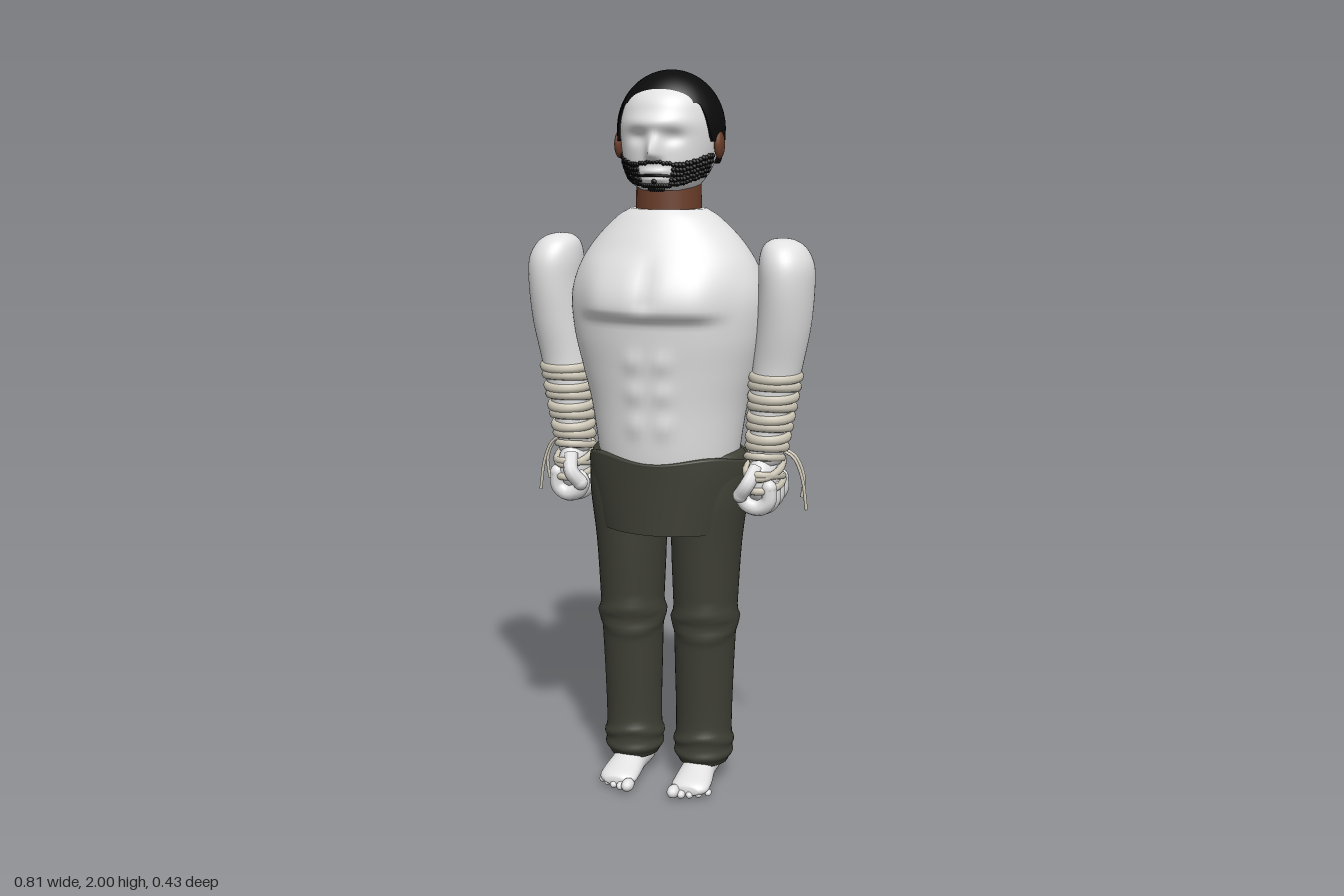
import * as THREE from 'three';
import { mergeGeometries } from 'three/addons/utils/BufferGeometryUtils.js';

const V = (x, y, z) => new THREE.Vector3(x, y, z);
const bump = (d, w) => Math.exp(-(d * d) / (w * w));
const step = THREE.MathUtils.smoothstep;
const mat = (name, color, side = THREE.FrontSide) => {
  const m = new THREE.MeshStandardMaterial({ color, side });
  m.name = name;
  return m;
};

// Closed ring surface: fn(angle, v) gives a point; angle 0 faces +z, v runs upward.
function surface(segs, rows, fn, capped = true) {
  const pos = [], idx = [];
  for (let j = 0; j <= rows; j++)
    for (let i = 0; i < segs; i++) pos.push(...fn((i / segs) * Math.PI * 2, j / rows).toArray());
  for (let j = 0; j < rows; j++)
    for (let i = 0; i < segs; i++) {
      const a = j * segs + i, b = j * segs + ((i + 1) % segs);
      idx.push(a, b, b + segs, a, b + segs, a + segs);
    }
  if (capped) {
    for (const j of [0, rows]) {
      const c = V(0, 0, 0), n = pos.length / 3;
      for (let i = 0; i < segs; i++) c.add(V(...pos.slice((j * segs + i) * 3, (j * segs + i) * 3 + 3)));
      pos.push(...c.divideScalar(segs).toArray());
      for (let i = 0; i < segs; i++) {
        const a = j * segs + i, b = j * segs + ((i + 1) % segs);
        if (j) idx.push(n, a, b); else idx.push(n, b, a);
      }
    }
  }
  const g = new THREE.BufferGeometry();
  g.setAttribute('position', new THREE.Float32BufferAttribute(pos, 3));
  g.setIndex(idx);
  g.computeVertexNormals();
  return g;
}

// Smooth elliptical sections [y, centreX, centreZ, radiusX, radiusZ], listed upward.
function sections(list) {
  const c = new THREE.CatmullRomCurve3(list.map(r => V(r[0], r[1], r[2])), false, 'catmullrom');
  const d = new THREE.CatmullRomCurve3(list.map(r => V(r[0], r[3], r[4])), false, 'catmullrom');
  return (a, v) => {
    const p = c.getPoint(v), r = d.getPoint(v);
    return V(p.y + Math.sin(a) * r.y, p.x, p.z + Math.cos(a) * r.z);
  };
}
function loft(list, segs, rows, shape = p => p, capped = true) {
  const f = sections(list);
  return surface(segs, rows, (a, v) => shape(f(a, v), a), capped);
}
const tube = (pts, r, n = 12, closed = false) =>
  new THREE.TubeGeometry(new THREE.CatmullRomCurve3(pts, closed), n, r, 8, closed);
function ball(x, y, z, rx, ry, rz, n = 16) {
  return new THREE.SphereGeometry(1, n, Math.ceil(n * 0.7)).scale(rx, ry, rz).translate(x, y, z);
}
function ring(c, rx, rz, tilt, r) {
  const pts = [];
  for (let i = 0; i < 20; i++) {
    const a = (i / 20) * Math.PI * 2;
    pts.push(V(c.x + Math.sin(a) * rx, c.y + Math.cos(a) * tilt, c.z + Math.cos(a) * rz));
  }
  return tube(pts, r, 32, true);
}

export function createModel() {
  const model = new THREE.Group();
  const skin = mat('paleSkin', 0xe2e2e2), hairMat = mat('blackHair', 0x0b0b0b);
  const brown = mat('brownSkin', 0x6b3e2a), wrapMat = mat('linenWrap', 0xcdc7b7);
  const cloth = mat('darkTrousers', 0x3e3f35, THREE.DoubleSide);
  const add = (name, geo, material, parent = model) => {
    const m = new THREE.Mesh(geo, material);
    m.name = name;
    parent.add(m);
    return m;
  };

  // Torso with chest, stomach muscles and spine groove
  add('torso', loft([
    [0.78, 0, -0.02, 0.15, 0.13], [0.88, 0, -0.02, 0.19, 0.155], [0.97, 0, -0.017, 0.2, 0.168],
    [1.1, 0, -0.018, 0.22, 0.178], [1.2, 0, -0.017, 0.245, 0.187], [1.3, 0, -0.015, 0.268, 0.197],
    [1.4, 0, -0.014, 0.274, 0.202], [1.48, 0, -0.012, 0.25, 0.185], [1.55, 0, -0.012, 0.205, 0.15],
    [1.61, 0, -0.01, 0.145, 0.11], [1.635, 0, -0.01, 0.105, 0.09],
  ], 80, 90, p => {
    const ax = Math.abs(p.x), y = p.y;
    if (p.z > 0.02) {
      const pec = step(y, 1.335, 1.375) * (1 - step(y, 1.38, 1.54)) * (1 - step(ax, 0.13, 0.23));
      p.z += pec * 0.026 - 0.01 * bump(p.x, 0.025) * step(y, 1.36, 1.4) * (1 - step(y, 1.45, 1.55));
      for (const h of [1.06, 1.15, 1.235]) p.z += 0.009 * bump(ax - 0.04, 0.024) * bump(y - h, 0.03);
    } else if (p.z < -0.02) {
      const back = step(y, 1.0, 1.15) * (1 - step(y, 1.5, 1.6));
      p.z += back * (0.016 * bump(p.x, 0.022) - 0.014 * bump(ax - 0.1, 0.07) * bump(y - 1.4, 0.12));
    }
    return p;
  }), skin);

  // Neck
  add('neck', new THREE.CylinderGeometry(0.088, 0.09, 0.1, 32).translate(0, 1.665, -0.013), brown);

  // Head with brow, eye hollows, nose and lips
  const headBase = sections([
    [1.685, 0, 0.0, 0.07, 0.085], [1.7, 0, 0.0, 0.09, 0.103], [1.74, 0, -0.014, 0.115, 0.126],
    [1.79, 0, -0.022, 0.129, 0.136], [1.85, 0, -0.025, 0.133, 0.14], [1.91, 0, -0.025, 0.121, 0.13],
    [1.95, 0, -0.03, 0.095, 0.1], [1.98, 0, -0.03, 0.05, 0.05],
  ]);
  const headPoint = (a, v) => {
    const p = headBase(a, v);
    if (p.z > 0.02) {
      const ax = Math.abs(p.x);
      p.z += 0.014 * bump(p.y - 1.86, 0.022) * bump(p.x, 0.09);
      p.z -= 0.012 * bump(p.y - 1.825, 0.02) * bump(ax - 0.05, 0.028);
      p.z += 0.036 * bump(p.x, 0.017) * step(p.y, 1.755, 1.78) * (1 - step(p.y, 1.785, 1.85));
      p.z += 0.008 * bump(p.x, 0.035) * (bump(p.y - 1.735, 0.008) + bump(p.y - 1.715, 0.008));
    }
    return p;
  };
  add('head', surface(96, 72, headPoint), skin);

  // Close-cut hair: low at the back, stepping up at the temples
  add('hair', surface(96, 40, (a, v) => {
    const az = Math.abs(a > Math.PI ? a - Math.PI * 2 : a) * 180 / Math.PI;
    const low = 1.912 - 0.1 * step(az, 50, 68) - 0.06 * step(az, 95, 118);
    const end = Math.acos((low - 1.845) / 0.155);
    const phi = end * Math.min(1, (1 - v) * 1.05);
    const y = 1.845 + 0.155 * Math.cos(phi);
    let r = phi < Math.PI / 2 ? Math.sin(phi) : 1 - (1 - Math.sin(phi)) * 0.45;
    if (v === 0) r *= 0.86;
    return V(Math.sin(a) * 0.147 * r, y, -0.033 + Math.cos(a) * 0.141 * r);
  }, false), hairMat);

  // Curly beard along the jaw, chin tuft and moustache
  const curls = [];
  const curl = (deg, y, r) => {
    let v = 0, best = 1;
    for (let k = 0; k <= 80; k++) {
      const d = Math.abs(headBase(0, k / 80).y - y);
      if (d < best) { best = d; v = k / 80; }
    }
    const p = headPoint(deg * Math.PI / 180, v);
    curls.push(ball(p.x, p.y, p.z, r, r, r, 6));
  };
  for (const s of [-1, 1]) {
    for (let d = 28; d <= 82; d += 4.5)
      for (let k = 0; k < 5; k++) curl(s * (d + (k % 2) * 2), 1.703 + step(d, 30, 82) * 0.022 + k * 0.0125, 0.0078);
    for (let d = 0; d <= 26; d += 4) {
      curl(s * d, 1.763 - d * 0.0004, 0.006);
      curl(s * d, 1.7, 0.007);
      if (d < 14) curl(s * d, 1.69, 0.008);
    }
    for (let k = 0; k < 5; k++) curl(s * 25, 1.703 + k * 0.012, 0.006);
  }
  curl(0, 1.712, 0.008);
  add('beard', mergeGeometries(curls), hairMat);
  add('mouthLine', tube([V(-0.05, 1.724, 0.095), V(0, 1.726, 0.117), V(0.05, 1.724, 0.095)], 0.004), hairMat);

  for (const s of [1, -1]) {
    const side = s > 0 ? 'left' : 'right';
    const limb = (list, ...rest) => loft(list.map(r => [r[0], r[1] * s, ...r.slice(2)]), ...rest);

    add(side + 'Ear', ball(s * 0.141, 1.803, -0.015, 0.013, 0.037, 0.029), brown);

    // Arm
    const arm = new THREE.Group();
    arm.name = side + 'Arm';
    model.add(arm);
    add('armSkin', limb([
      [0.95, 0.28, -0.01, 0.044, 0.055], [1.05, 0.288, -0.012, 0.052, 0.056], [1.14, 0.298, -0.013, 0.062, 0.062],
      [1.22, 0.31, -0.014, 0.068, 0.068], [1.32, 0.324, -0.014, 0.073, 0.086], [1.42, 0.331, -0.014, 0.074, 0.1],
      [1.49, 0.33, -0.014, 0.073, 0.098], [1.535, 0.323, -0.014, 0.058, 0.075], [1.556, 0.318, -0.014, 0.032, 0.04],
      [1.561, 0.318, -0.014, 0.005, 0.005],
    ], 40, 50), skin, arm);

    // Fist: palm, curled fingers, thumb
    const fist = [ball(s * 0.277, 0.905, -0.008, 0.046, 0.075, 0.085, 24)];
    for (let k = 0; k < 4; k++) {
      const z = 0.058 - k * 0.044, up = Math.abs(k - 1.3) * 0.007;
      const pts = [[0.308, 0.885], [0.306, 0.845], [0.28, 0.826], [0.245, 0.836], [0.232, 0.865], [0.25, 0.882]];
      fist.push(tube(pts.map(q => V(s * q[0], q[1] + up, z)), 0.022, 20));
      fist.push(ball(s * 0.308, 0.885 + up, z, 0.022, 0.022, 0.022, 10));
    }
    fist.push(tube([V(s * 0.27, 0.945, 0.05), V(s * 0.255, 0.905, 0.085), V(s * 0.232, 0.872, 0.075)], 0.021));
    fist.push(ball(s * 0.232, 0.872, 0.075, 0.021, 0.021, 0.021, 10));
    add('fist', mergeGeometries(fist), skin, arm);

    // Wraps round the forearm and hand, with loose ends
    const wraps = [];
    for (let k = 0; k < 8; k++) {
      const t = k / 7, y = 1.19 - t * 0.195;
      wraps.push(ring(V(s * (0.305 - t * 0.022), y, -0.013), 0.062 - t * 0.014, 0.06 - t * 0.007, k % 2 ? 0.006 : -0.004, 0.0145));
    }
    for (const [y, tilt] of [[0.965, 0.012], [0.94, -0.02], [0.915, 0.016], [0.893, -0.008]])
      wraps.push(ring(V(s * 0.278, y, -0.008), 0.047, y > 0.95 ? 0.066 : 0.084, tilt, 0.0105));
    add('wraps', mergeGeometries(wraps), wrapMat, arm);
    const ends = [[-0.022, 0.394, 0.82], [-0.045, 0.375, 0.85]].map(([z, x, y]) =>
      tube([V(s * 0.318, 0.985, z), V(s * 0.355, 0.965, z), V(s * 0.38, 0.91, z), V(s * x, y, z)], 0.0045));
    add('wrapEnds', mergeGeometries(ends), wrapMat, arm);

    // Trouser leg with folds at knee and cuff
    add(side + 'TrouserLeg', limb([
      [0.062, 0.105, -0.015, 0.07, 0.075], [0.1, 0.105, -0.015, 0.08, 0.084], [0.2, 0.106, -0.014, 0.08, 0.081],
      [0.35, 0.107, -0.013, 0.084, 0.088], [0.5, 0.109, -0.013, 0.089, 0.098], [0.7, 0.111, -0.014, 0.098, 0.112],
      [0.85, 0.12, -0.015, 0.106, 0.12], [0.94, 0.128, -0.015, 0.097, 0.11], [0.975, 0.135, -0.015, 0.075, 0.085],
      [0.985, 0.135, -0.015, 0.03, 0.04],
    ], 40, 100, (p, a) => {
      const w = 0.012 * Math.sin(a * 2 + 1);
      const f = 0.009 * bump(p.y - 0.505 - w, 0.014) + 0.006 * bump(p.y - 0.46 + w, 0.013)
        + 0.007 * bump(p.y - 0.135 - w, 0.012) + 0.006 * bump(p.y - 0.088, 0.013);
      return p.add(V(Math.sin(a) * f, 0, Math.cos(a) * f));
    }), cloth);

    // Bare foot, lofted heel to toe and laid flat, plus toes
    const foot = limb([
      [-0.1, 0.1, -0.042, 0.012, 0.012], [-0.09, 0.1, -0.043, 0.035, 0.034], [-0.05, 0.101, -0.046, 0.046, 0.045],
      [0.02, 0.104, -0.045, 0.047, 0.043], [0.09, 0.107, -0.034, 0.054, 0.03], [0.13, 0.107, -0.028, 0.052, 0.022],
      [0.15, 0.107, -0.026, 0.03, 0.012],
    ], 28, 30).rotateX(Math.PI / 2);
    const toes = [ball(s * 0.103, 0.08, -0.015, 0.048, 0.06, 0.055)];
    for (let k = 0; k < 5; k++) {
      const r = k ? 0.0125 - k * 0.0008 : 0.018;
      toes.push(ball(s * (0.068 + k * 0.0225), r + 0.004, 0.153 - k * k * 0.0025, r, r, r * 1.5, 12));
    }
    for (const t of toes) t.deleteAttribute('uv');
    add(side + 'Foot', mergeGeometries([foot, ...toes]), skin);
  }

  // Wide cloth waistband with a turned-in upper edge
  add('waistband', loft([
    [0.757, 0, -0.017, 0.2, 0.168], [0.82, 0, -0.017, 0.213, 0.169], [0.9, 0, -0.017, 0.226, 0.171],
    [0.95, 0, -0.017, 0.228, 0.173], [0.963, 0, -0.017, 0.222, 0.172], [0.964, 0, -0.017, 0.19, 0.155],
  ], 64, 30, (p, a) => {
    p.y += 0.008 * step(p.y, 0.9, 0.96) * -Math.cos(a * 4);
    return p;
  }, false), cloth);

  return model;
}
